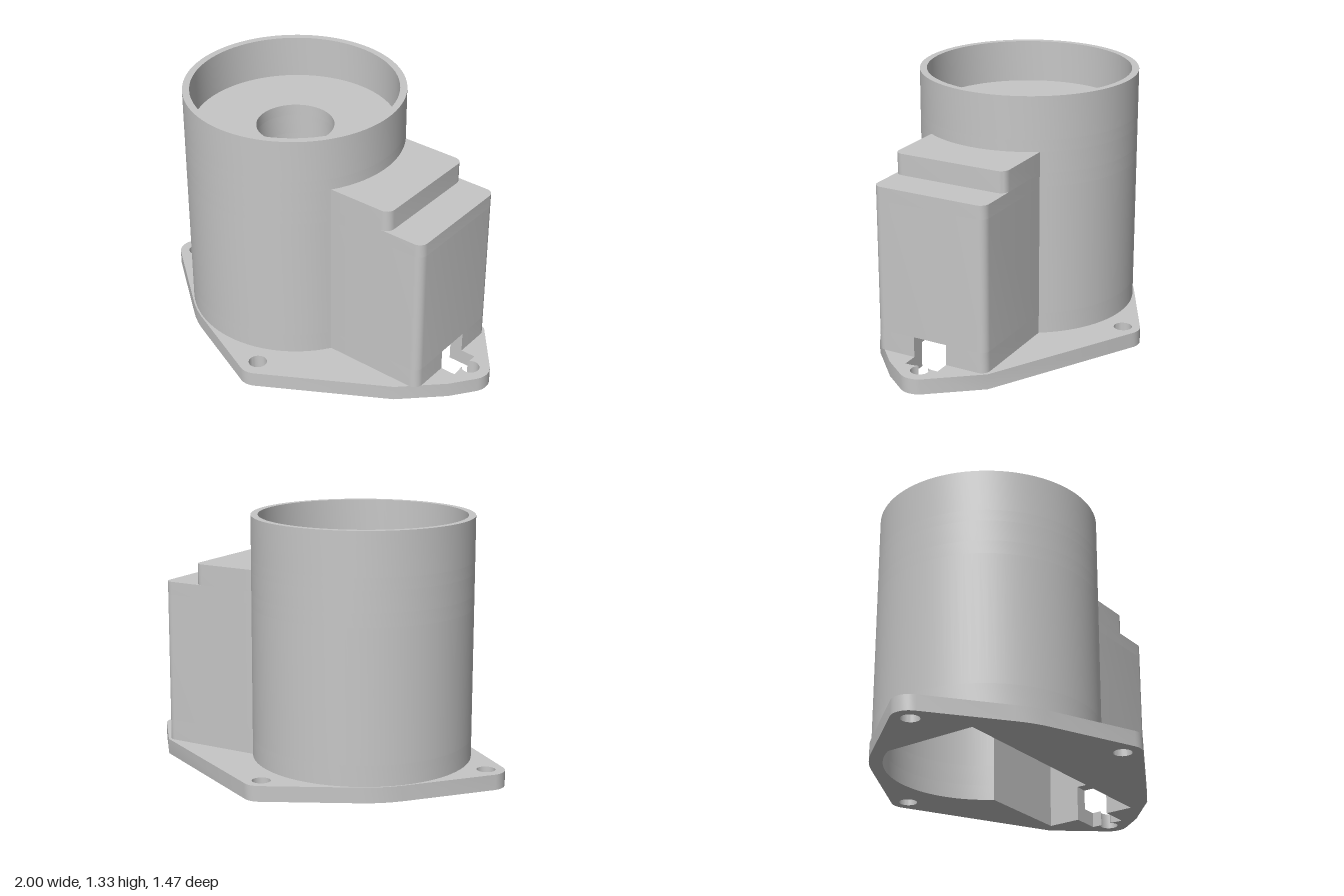
import * as THREE from 'three';
import { toCreasedNormals } from 'three/addons/utils/BufferGeometryUtils.js';

const CX = -0.228, CZ = 0.01, R = 0.566;

// Points [x, z] along an arc, angle a to b measured from +x towards +z
function arc(cx, cz, r, a, b, n = 12) {
  return Array.from({ length: n + 1 }, (_, i) => {
    const t = a + (b - a) * i / n;
    return [cx + r * Math.cos(t), cz + r * Math.sin(t)];
  });
}
const circle = (cx, cz, r, n = 32) => arc(cx, cz, r, 0, Math.PI * 2, n).slice(0, n);

// Convex outline wrapped round a set of points
function hull(points) {
  const p = [...points].sort((a, b) => a[0] - b[0] || a[1] - b[1]);
  const half = (list) => {
    const h = [];
    for (const q of list) {
      while (h.length > 1) {
        const a = h[h.length - 2], b = h[h.length - 1];
        if ((b[0] - a[0]) * (q[1] - a[1]) - (b[1] - a[1]) * (q[0] - a[0]) > 1e-9) break;
        h.pop();
      }
      h.push(q);
    }
    return h.slice(0, -1);
  };
  return [...half(p), ...half(p.reverse())];
}

export function createModel() {
  const model = new THREE.Group();
  const grey = new THREE.MeshStandardMaterial({ color: 0xc6c6c6 });
  grey.name = 'grey';

  // Horizontal slab from y0 to y1 with holes through it; outline runs
  // anticlockwise and holes clockwise so that every wall faces outwards
  function loop(list, clockwise) {
    const pts = list.map(([x, z]) => new THREE.Vector2(x, -z));
    return THREE.ShapeUtils.isClockWise(pts) === clockwise ? pts : pts.reverse();
  }
  function slab(name, outline, holes, y0, y1) {
    const shape = new THREE.Shape(loop(outline, false));
    shape.holes = holes.map((h) => new THREE.Path(loop(h, true)));
    let geo = new THREE.ExtrudeGeometry(shape, { depth: y1 - y0, bevelEnabled: false });
    geo.rotateX(-Math.PI / 2).translate(0, y0, 0);
    geo = toCreasedNormals(geo, 0.6);
    const mesh = new THREE.Mesh(geo, grey);
    mesh.name = name;
    model.add(mesh);
  }

  // Plan of the drum joined to the side box, ending at x = end
  const z0 = -0.303, z1 = 0.317, c = 0.045;
  const aFront = Math.asin((z1 - CZ) / R), aBack = Math.asin((z0 - CZ) / R);
  const drumArc = arc(CX, CZ, R, aFront, Math.PI * 2 + aBack, 72);
  const body = (end) => [
    ...drumArc,
    ...arc(end - c, z0 + c, c, -Math.PI / 2, 0, 6),
    ...arc(end - c, z1 - c, c, 0, Math.PI / 2, 6),
  ];

  // Plan of the hollow, open below; mouth points cut through its end wall
  const hollow = (mouth) => [
    ...mouth,
    [0.72, 0.25], [-0.66, 0.25],
    ...arc(CX, 0, 0.5, Math.PI + 0.55, Math.PI * 2 - 0.55, 32),
    [0.72, -0.26],
  ];
  const m0 = -0.083, m1 = 0.1;
  const keyhole = [
    [0.72, m0], [0.87, m0], [0.87, -0.03],
    ...arc(0.9, 0, 0.047, -Math.PI * 0.78, Math.PI * 0.78, 20),
    [0.87, 0.03], [0.87, m1], [0.72, m1],
  ];

  // Base flange wrapped round four bolt bosses, the drum and the box corners
  const flange = hull([
    ...circle(-0.03, -0.647, 0.09), ...circle(-0.905, 0.082, 0.095),
    ...circle(0.022, 0.645, 0.092), ...circle(0.9, 0, 0.1),
    ...circle(CX, CZ, 0.575, 72),
    [0.78, -0.31], [0.69, 0.37], [0.89, 0.18],
  ]);
  const bolts = [[-0.033, -0.647], [-0.905, 0.082], [0.022, 0.638]];
  slab('baseFlange', flange,
    [hollow(keyhole), ...bolts.map(([x, z]) => circle(x, z, 0.047))], 0, 0.08);

  // Walls beside the cable opening: one strip that runs round the hollow
  const full = body(0.79);
  const strip = [
    ...full.slice(0, -7),
    [0.79, m0], [0.72, m0],
    ...hollow([]).reverse(),
    [0.72, m1], [0.79, m1],
    ...full.slice(-7),
  ];
  slab('lowerWalls', strip, [], 0.08, 0.187);

  // Walls above the opening, then the stepped roof
  const bore = circle(CX, CZ, 0.2, 48);
  const drum = [...drumArc, ...arc(CX, CZ, R, aBack, aFront, 14).slice(1, -1)];
  slab('upperWalls', full, [hollow([])], 0.187, 0.87);
  slab('lowerRoof', full, [bore], 0.87, 0.94);
  slab('steppedRoof', body(0.595), [bore], 0.94, 1.05);

  // Drum floor and the raised rim of its cup
  slab('cupFloor', drum, [bore], 1.05, 1.11);
  slab('cupRim', drum, [circle(CX, CZ, 0.53, 80)], 1.11, 1.333);

  return model;
}
